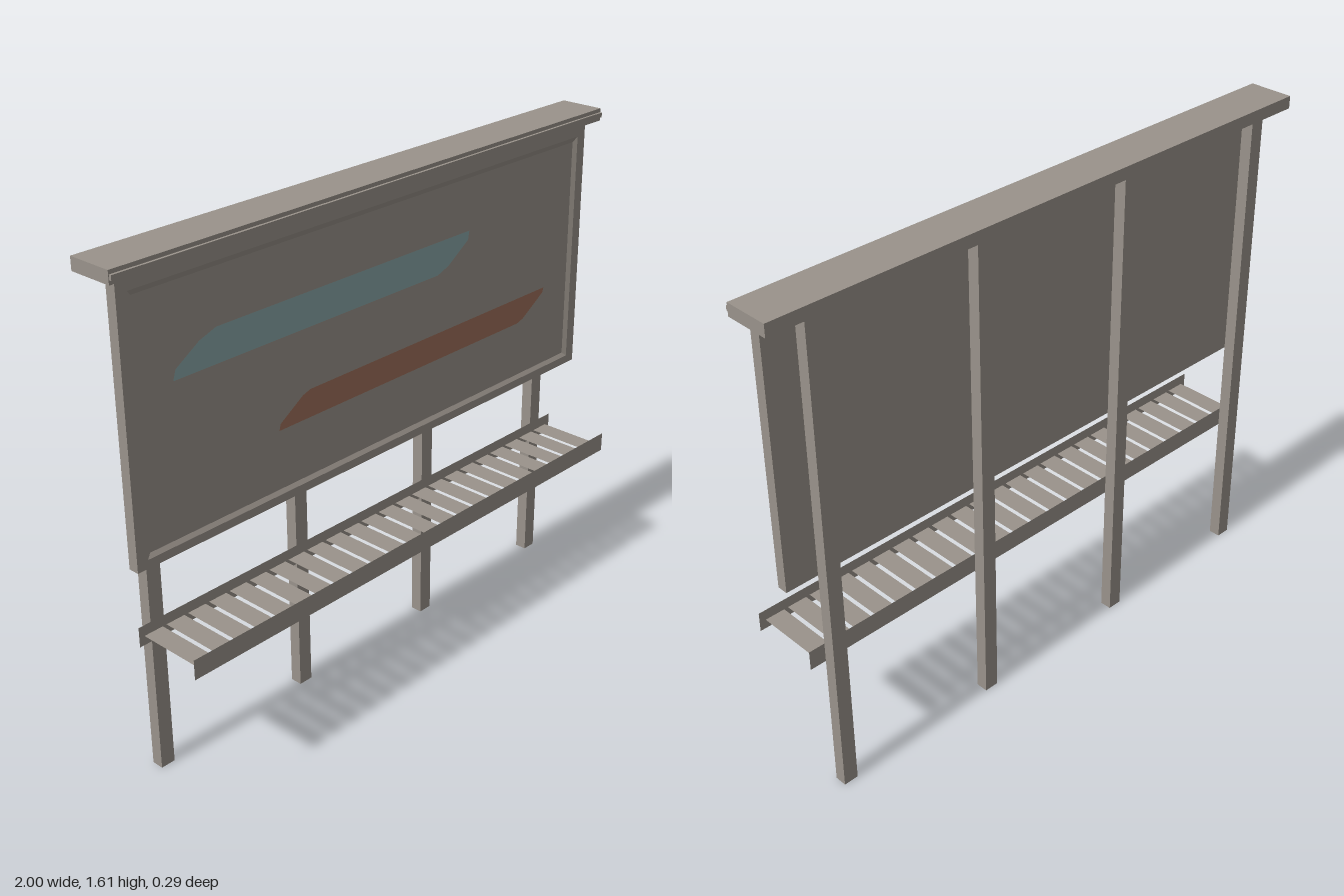
import * as THREE from 'three';

const steel = new THREE.MeshStandardMaterial({ color: 0x9a938b, side: THREE.DoubleSide });
steel.name = 'warm grey steel';
const blue = new THREE.MeshStandardMaterial({ color: 0x8aa7a8, side: THREE.DoubleSide });
blue.name = 'pale blue paint';
const rust = new THREE.MeshStandardMaterial({ color: 0xa0705b, side: THREE.DoubleSide });
rust.name = 'rust paint';

// Mesh from min/max extents on each axis
function box(name, [x0, x1], [y0, y1], [z0, z1]) {
  const mesh = new THREE.Mesh(new THREE.BoxGeometry(x1 - x0, y1 - y0, z1 - z0), steel);
  mesh.position.set((x0 + x1) / 2, (y0 + y1) / 2, (z0 + z1) / 2);
  mesh.name = name;
  return mesh;
}

// Rectangular loops [halfWidth, bottom, top, z] joined by flat quads
function rectLoops(loops) {
  const corners = loops.map(([w, b, t, z]) => [[-w, b, z], [w, b, z], [w, t, z], [-w, t, z]]);
  const pos = [];
  for (let i = 0; i < loops.length - 1; i++) {
    for (let k = 0; k < 4; k++) {
      const n = (k + 1) % 4;
      const a = corners[i][k], b = corners[i][n], c = corners[i + 1][n], d = corners[i + 1][k];
      pos.push(...a, ...b, ...c, ...a, ...c, ...d);
    }
  }
  const geo = new THREE.BufferGeometry();
  geo.setAttribute('position', new THREE.Float32BufferAttribute(pos, 3));
  geo.computeVertexNormals();
  return geo;
}

// Flat painted stripe on the panel face
function stripe(name, points, material) {
  const shape = new THREE.Shape(points.map(([x, y]) => new THREE.Vector2(x, y)));
  const mesh = new THREE.Mesh(new THREE.ShapeGeometry(shape), material);
  mesh.position.z = -0.035;
  mesh.name = name;
  return mesh;
}

export function createModel() {
  const model = new THREE.Group();
  model.name = 'billboard';

  // Support posts
  for (const x of [-0.856, -0.287, 0.284, 0.855]) {
    model.add(box('post', [x - 0.024, x + 0.024], [0, 1.58], [-0.139, -0.1]));
  }

  // Top canopy with a thin front lip
  model.add(box('canopy', [-1, 1], [1.57, 1.61], [-0.147, 0]));
  model.add(box('canopyLip', [-0.998, 0.998], [1.583, 1.598], [0, 0.008]));

  // Display board with a bevelled raised border
  model.add(box('board', [-0.91, 0.91], [0.77, 1.51], [-0.064, -0.038]));
  const border = new THREE.Mesh(rectLoops([
    [0.91, 0.77, 1.51, -0.065],
    [0.962, 0.73, 1.563, -0.065],
    [0.962, 0.73, 1.563, -0.03],
    [0.925, 0.757, 1.527, -0.03],
    [0.91, 0.77, 1.51, -0.038],
  ]), steel);
  border.name = 'boardBorder';
  model.add(border);

  // Painted stripes
  model.add(stripe('upperStripe', [
    [-0.795, 1.237], [0.25, 1.237], [0.3, 1.255], [0.39, 1.315], [0.395, 1.343],
    [-0.64, 1.343], [-0.7, 1.322], [-0.785, 1.268],
  ], blue));
  model.add(stripe('lowerStripe', [
    [-0.425, 0.958], [0.65, 0.958], [0.68, 0.967], [0.78, 1.03], [0.785, 1.046],
    [-0.3, 1.046], [-0.33, 1.036], [-0.42, 0.978],
  ], rust));

  // Service walkway: two thin side rails and a row of slats
  const walkway = new THREE.Group();
  walkway.name = 'walkway';
  const railGeo = new THREE.PlaneGeometry(1.856, 0.064);
  for (const [name, z] of [['frontRail', 0.139], ['backRail', -0.092]]) {
    const rail = new THREE.Mesh(railGeo, steel);
    rail.position.set(-0.001, 0.482, z);
    rail.name = name;
    walkway.add(rail);
  }
  const slatGeo = new THREE.PlaneGeometry(0.066, 0.23).rotateX(-Math.PI / 2);
  for (let i = 0; i < 23; i++) {
    const slat = new THREE.Mesh(slatGeo, steel);
    slat.position.set(-0.878 + i * 0.0796, 0.48, 0.0235);
    slat.name = 'slat';
    walkway.add(slat);
  }
  model.add(walkway);

  return model;
}
